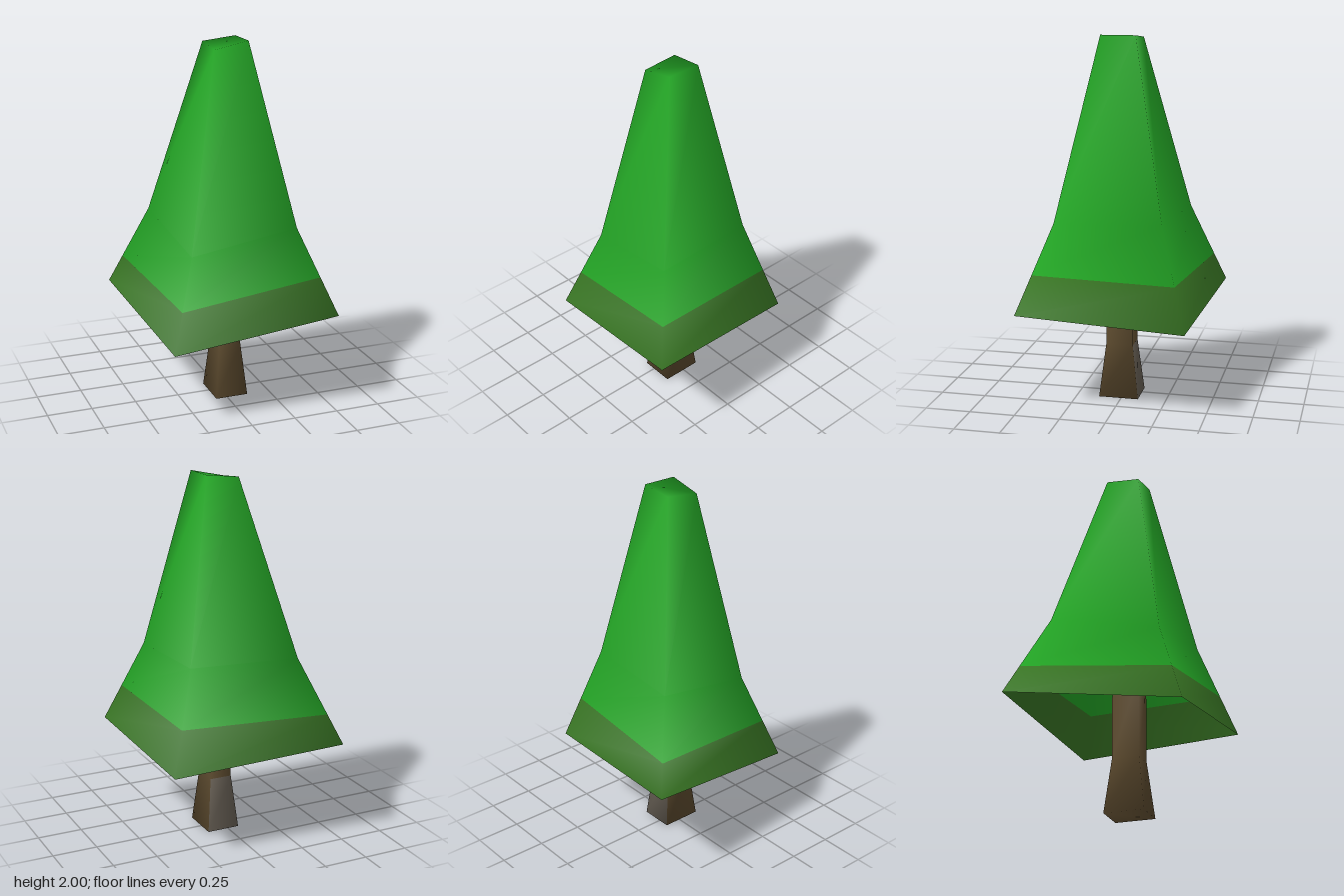
import * as THREE from 'three';

const material = (name, color, side = THREE.FrontSide) => {
  const m = new THREE.MeshStandardMaterial({ color, side });
  m.name = name;
  return m;
};

// Joins four-cornered rings (front left, front right, back right, back left as seen from the front)
// into one smooth skin. materialOf(strip, side) picks the material index of each quad.
function loft(rings, materialOf, capTop, capBottom) {
  const geometry = new THREE.BufferGeometry();
  geometry.setAttribute('position', new THREE.Float32BufferAttribute(rings.flat(2), 3));
  const index = [];
  const addQuad = (a, b, c, d, mat) => {
    geometry.addGroup(index.length, 6, mat);
    index.push(a, b, c, a, c, d);
  };
  for (let r = 0; r < rings.length - 1; r++) {
    for (let s = 0; s < 4; s++) {
      const a = r * 4 + s, b = r * 4 + (s + 1) % 4;
      addQuad(a, b, b + 4, a + 4, materialOf(r, s));
    }
  }
  const t = (rings.length - 1) * 4;
  if (capTop) addQuad(t, t + 1, t + 2, t + 3, materialOf(rings.length - 2, 0));
  if (capBottom) addQuad(3, 2, 1, 0, 0);
  geometry.setIndex(index);
  geometry.computeVertexNormals();
  return geometry;
}

// Level rectangular ring
const box = (x0, x1, z0, z1, y) => [[x0, y, z1], [x1, y, z1], [x1, y, z0], [x0, y, z0]];

export function createModel() {
  const tree = new THREE.Group();
  tree.name = 'tree';

  const leaf = material('leafGreen', 0x24a826, THREE.DoubleSide);
  const fringe = material('fringeGreen', 0x3a7825, THREE.DoubleSide);
  const bark = material('barkBrown', 0x5c4a2e);
  const bare = material('bareBarkGrey', 0x6b6358);

  // Hollow crown: skewed hem, waist and tip, with a dark fringe along the hem
  const hem = [[-0.41, 0.435, 0.44], [0.5, 0.555, 0.49], [0.46, 0.495, -0.41], [-0.5, 0.555, -0.49]];
  const waist = [[-0.26, 0.91, 0.28], [0.32, 1.02, 0.32], [0.3, 1.03, -0.26], [-0.31, 1.02, -0.31]];
  const tip = [[-0.07, 1.96, 0.105], [0.12, 2, 0.11], [0.12, 2, -0.08], [-0.065, 1.98, -0.085]];
  const fringeShare = [0.44, 0.44, 0.44, 0.35];
  const fringeTop = hem.map((p, i) => p.map((v, k) => THREE.MathUtils.lerp(v, waist[i][k], fringeShare[i])));
  const crown = new THREE.Mesh(
    loft([hem, fringeTop, waist, tip], (strip) => (strip === 0 ? 0 : 1), true, false),
    [fringe, leaf]
  );
  crown.name = 'crown';
  tree.add(crown);

  // Trunk flared at the foot, with a bare patch low on the back
  const trunk = new THREE.Mesh(
    loft(
      [box(-0.065, 0.12, -0.095, 0.125, 0), box(-0.035, 0.09, -0.06, 0.09, 0.3), box(-0.035, 0.09, -0.06, 0.09, 0.75)],
      (strip, side) => (strip === 0 && side === 2 ? 1 : 0), true, true
    ),
    [bark, bare]
  );
  trunk.name = 'trunk';
  tree.add(trunk);

  return tree;
}
